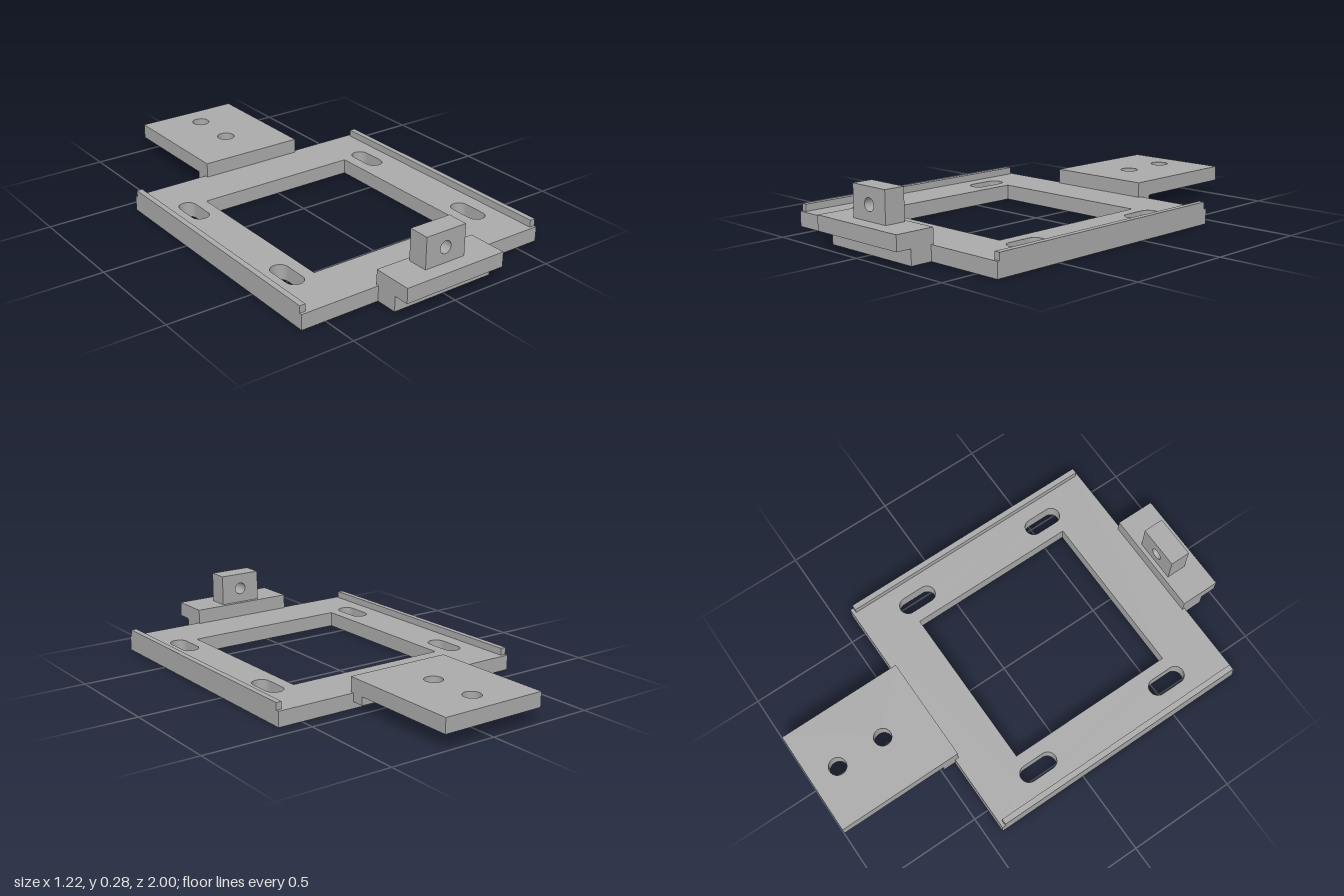
import * as THREE from 'three';

const grey = new THREE.MeshStandardMaterial({ color: 0xaaaaaa });
grey.name = 'plain grey';

const rect = (Type, x0, y0, x1, y1) =>
  new Type([[x0, y0], [x1, y0], [x1, y1], [x0, y1]].map(p => new THREE.Vector2(...p)));

const circle = (x, y, r) => new THREE.Path().absarc(x, y, r, 0, Math.PI * 2, true);

// Rounded slot, long in the second axis
function slot(x, y, r, half) {
  const p = new THREE.Path();
  p.absarc(x, y + half, r, 0, Math.PI, false);
  p.absarc(x, y - half, r, Math.PI, Math.PI * 2, false);
  p.closePath();
  return p;
}

function extrude(shape, holes, depth) {
  shape.holes.push(...holes);
  return new THREE.ExtrudeGeometry(shape, { depth, bevelEnabled: false, curveSegments: 20 });
}

// Flat plate: outline in x and z, standing between two heights
function plate(x0, z0, x1, z1, y0, y1, holes) {
  return extrude(rect(THREE.Shape, x0, z0, x1, z1), holes, y1 - y0)
    .rotateX(Math.PI / 2).translate(0, y1, 0);
}

function box(x0, x1, y0, y1, z0, z1) {
  return new THREE.BoxGeometry(x1 - x0, y1 - y0, z1 - z0)
    .translate((x0 + x1) / 2, (y0 + y1) / 2, (z0 + z1) / 2);
}

export function createModel() {
  const group = new THREE.Group();
  group.name = 'mountingBracket';
  const add = (name, geometry) => {
    const mesh = new THREE.Mesh(geometry, grey);
    mesh.name = name;
    group.add(mesh);
  };
  const top = 0.068, high = 0.135, half = 0.247;

  // Frame with window and four adjustment slots
  const cuts = [rect(THREE.Path, -0.385, -0.2, 0.385, 0.6)];
  for (const x of [-0.48, 0.48])
    for (const z of [-0.15, 0.55]) cuts.push(slot(x, z, 0.04, 0.05));
  add('frame', plate(-0.612, -0.43, 0.612, 0.83, 0, top, cuts));

  // Side rails
  add('leftRail', box(0.586, 0.612, top, 0.1, -0.415, 0.818));
  add('rightRail', box(-0.612, -0.586, top, 0.1, -0.415, 0.818));

  // Rear tongue with two screw holes and the step under it
  add('rearTongue', plate(-half, -1, half, -0.413, top, high,
    [circle(0, -0.87, 0.04), circle(0, -0.64, 0.04)]));
  add('rearStep', box(-half, half, 0.03, top, -0.49, -0.43));

  // Front ledge on its foot
  add('frontFoot', box(-half, half, 0, top, 0.83, 0.93));
  add('frontLedge', box(-half, half, top, high, 0.818, 1));

  // Upright lug bored from front to back
  add('frontLug', extrude(rect(THREE.Shape, -0.1, high, 0.1, 0.276),
    [circle(0, 0.203, 0.028)], 0.095).translate(0, 0, 0.837));

  return group;
}
